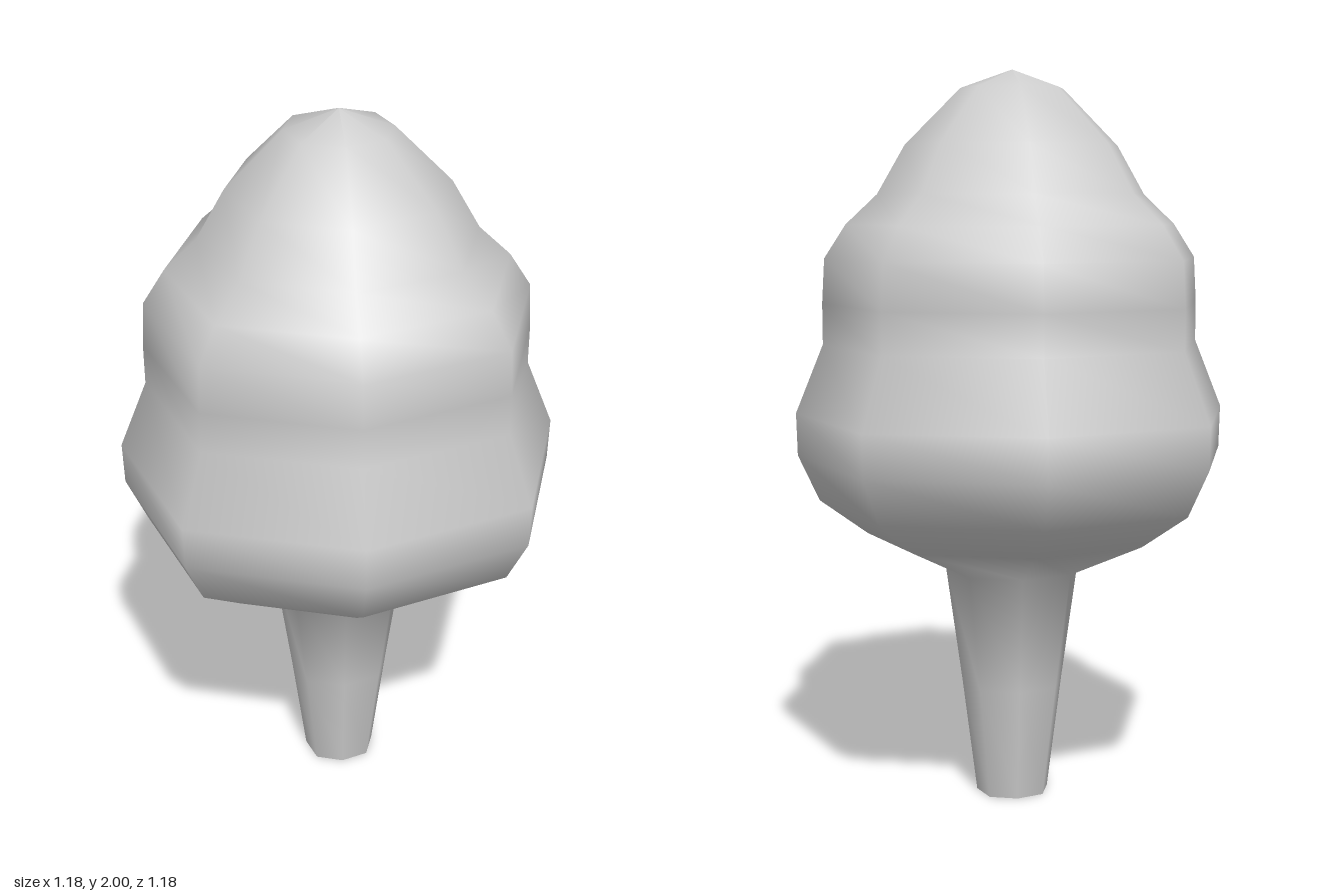
import * as THREE from 'three';

const SIDES = 8;
const TRUNK_BANDS = 2; // profile bands that belong to the trunk

// [radius, height] from the ground to the tip
const PROFILE = [
  [0.1, 0.005], [0.14, 0.32], [0.185, 0.645],
  [0.4, 0.75], [0.53, 0.845], [0.587, 0.97], [0.59, 1.085],
  [0.515, 1.27], [0.515, 1.38], [0.508, 1.5], [0.45, 1.59],
  [0.365, 1.67], [0.29, 1.8], [0.14, 1.95], [0, 2],
];

// The diagonal corners of the octagon stand out slightly
function bulgeDiagonals(geometry) {
  const p = geometry.attributes.position;
  for (let i = 0; i < p.count; i++) {
    const x = p.getX(i), z = p.getZ(i);
    const k = Math.abs(x * z) > 1e-6 ? 1.058 : 1;
    p.setX(i, x * k);
    p.setZ(i, z * k);
  }
  return geometry;
}

// Keeps only some bands of the lathe, so parts share smooth normals at the joint
function takeBands(lathe, from, to) {
  const bands = PROFILE.length - 1;
  const index = Array.from(lathe.index.array).filter((_, n) => {
    const band = Math.floor(n / 6) % bands;
    return band >= from && band < to;
  });
  const part = lathe.clone();
  part.setIndex(index);
  return part;
}

export function createModel() {
  const group = new THREE.Group();
  group.name = 'tree';
  const material = new THREE.MeshStandardMaterial({ color: 0xcccccc });
  const add = (name, geometry) => {
    const mesh = new THREE.Mesh(geometry, material);
    mesh.name = name;
    group.add(mesh);
    return mesh;
  };

  // Trunk and wavy foliage
  const points = PROFILE.map(([r, y]) => new THREE.Vector2(r, y));
  const lathe = bulgeDiagonals(new THREE.LatheGeometry(points, SIDES));
  add('trunk', takeBands(lathe, 0, TRUNK_BANDS));
  add('foliage', takeBands(lathe, TRUNK_BANDS, PROFILE.length - 1));

  // Flat underside of the trunk
  const base = new THREE.CircleGeometry(PROFILE[0][0], SIDES).rotateX(Math.PI / 2);
  add('trunkBase', bulgeDiagonals(base)).position.y = PROFILE[0][1];

  return group;
}
